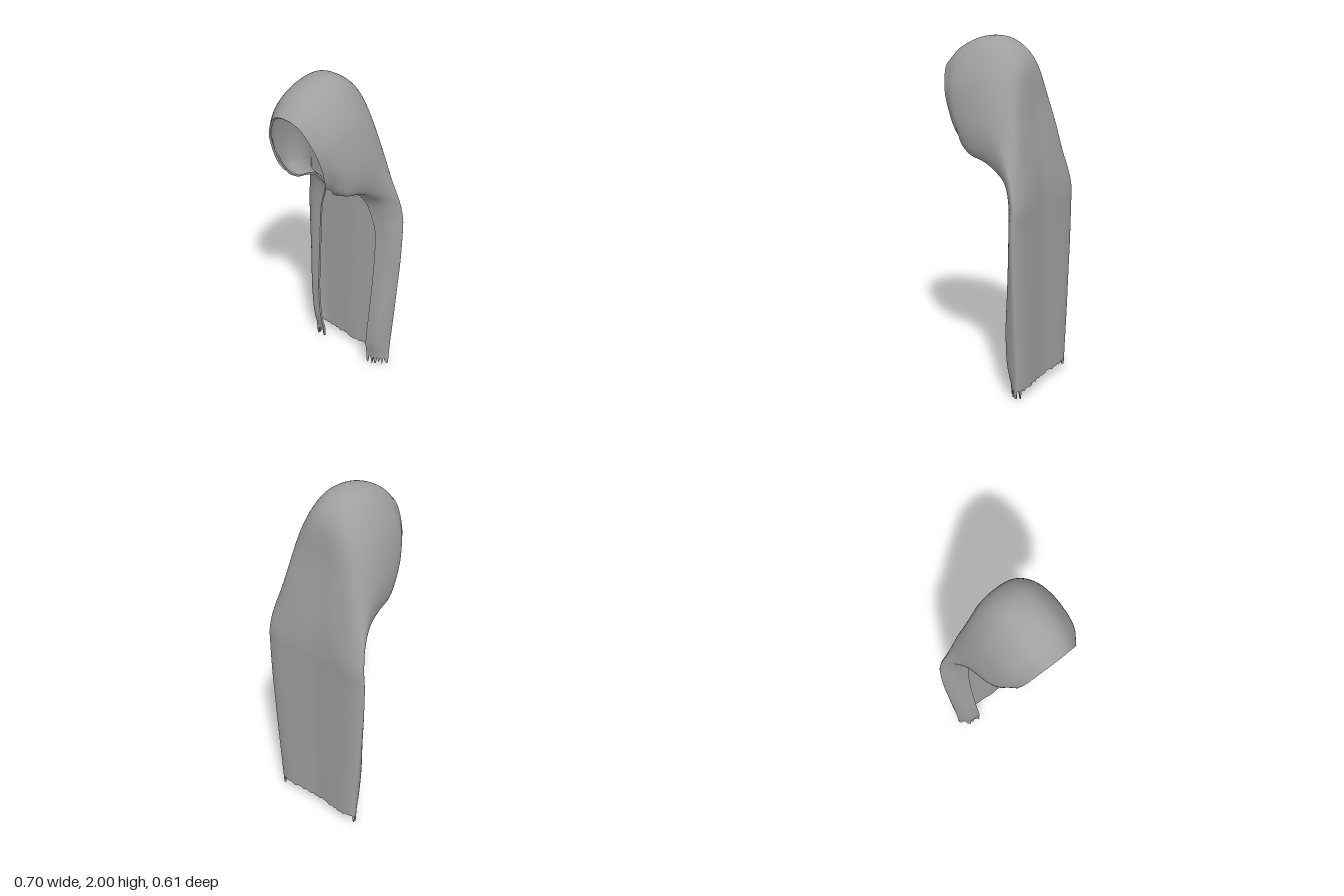
import * as THREE from 'three';

// Body cross-sections from hem to shoulder: height, half width, front edge x, front edge z
const BODY = [
  [0.065, 0.29, 0.175, -0.2],
  [0.2, 0.298, 0.185, -0.175],
  [0.4, 0.315, 0.2, -0.175],
  [0.6, 0.33, 0.207, -0.188],
  [0.8, 0.345, 0.21, -0.2],
  [1.0, 0.352, 0.205, -0.205],
  [1.13, 0.346, 0.168, -0.195],
];

// Hood arches from neck to opening rim; each runs from the spine round the side to the underside
const HOOD = [
  [[0, 1.3, -0.27], [0.13, 1.3, -0.277], [0.26, 1.29, -0.27], [0.325, 1.27, -0.24], [0.27, 1.24, -0.185], [0.15, 1.2, -0.17]],
  [[0, 1.6, -0.222], [0.12, 1.58, -0.227], [0.235, 1.52, -0.222], [0.292, 1.42, -0.16], [0.255, 1.31, -0.11], [0.145, 1.28, -0.1]],
  [[0, 1.86, -0.185], [0.12, 1.82, -0.18], [0.225, 1.7, -0.14], [0.28, 1.52, -0.07], [0.25, 1.36, -0.03], [0.145, 1.32, -0.03]],
  [[0, 1.98, -0.07], [0.12, 1.935, -0.07], [0.225, 1.77, -0.03], [0.27, 1.55, 0.02], [0.24, 1.39, 0.06], [0.15, 1.34, 0.05]],
  [[0, 1.995, 0.07], [0.12, 1.945, 0.07], [0.22, 1.77, 0.09], [0.25, 1.56, 0.11], [0.22, 1.43, 0.12], [0.16, 1.38, 0.11]],
  [[0, 1.94, 0.21], [0.11, 1.9, 0.205], [0.2, 1.75, 0.19], [0.225, 1.58, 0.17], [0.2, 1.47, 0.15], [0.165, 1.42, 0.14]],
  [[0, 1.85, 0.305], [0.09, 1.82, 0.295], [0.16, 1.7, 0.26], [0.178, 1.58, 0.22], [0.17, 1.49, 0.19], [0.15, 1.43, 0.16]],
];

const COLS = 80, ROWS = 78, THICK = 0.012;

const bodyRow = ([y, w, e, z]) => [
  [0, y, -0.285], [w * 0.4, y, -0.294], [w * 0.8, y, -0.299],
  [w, y, -0.272], [e + (w - e) * 0.62, y, z - 0.018], [e, y, z],
];

// Mirror a half section into a full one, right edge to left edge
const mirrorRow = (half) => [
  ...half.slice(1).reverse().map(([x, y, z]) => new THREE.Vector3(-x, y, z)),
  ...half.map((p) => new THREE.Vector3(...p)),
];

const smooth = (points, n) => new THREE.CatmullRomCurve3(points, false, 'catmullrom', 0.5).getPoints(n);

// Torn hem: uneven teeth, longest near the two sides
function tear(i) {
  const r = Math.abs(Math.sin(i * 12.9898 + 4.1) * 43758.5453) % 1;
  const side = Math.abs(i / COLS - 0.5) * 2;
  return r > 0.55 ? -0.062 * r * (side > 0.45 ? 1 : 0.15) : 0.006 * r;
}

function makeGeometry(pos, index) {
  const g = new THREE.BufferGeometry();
  g.setAttribute('position', new THREE.Float32BufferAttribute(pos, 3));
  g.setIndex(index);
  g.computeVertexNormals();
  return g;
}

export function createModel() {
  const cloth = new THREE.MeshStandardMaterial({ color: 0xa0a0a0 });
  const group = new THREE.Group();
  group.name = 'hoodedCloak';
  const add = (name, geometry) => {
    const mesh = new THREE.Mesh(geometry, cloth);
    mesh.name = name;
    group.add(mesh);
  };

  // Loft the sections both ways into a grid of points
  const sections = [...BODY.map(bodyRow), ...HOOD].map((h) => smooth(mirrorRow(h), COLS));
  const columns = [];
  for (let i = 0; i <= COLS; i++) columns.push(smooth(sections.map((s) => s[i]), ROWS));

  const pos = [], out = [], inn = [];
  const id = (i, j) => j * (COLS + 1) + i;
  for (let j = 0; j <= ROWS; j++) {
    for (let i = 0; i <= COLS; i++) {
      const p = columns[i][j];
      pos.push(p.x, j === 0 ? p.y + tear(i) : p.y, p.z);
      if (i < COLS && j < ROWS) {
        const a = id(i, j), b = id(i + 1, j), c = id(i, j + 1), d = id(i + 1, j + 1);
        out.push(a, c, b, b, c, d);
        inn.push(a, b, c, b, d, c);
      }
    }
  }

  // Outer cloth and its lining, set inward along the normals
  const outer = makeGeometry(pos, out);
  const n = outer.attributes.normal.array;
  const inPos = pos.map((v, k) => (k % 3 === 1 && k < (COLS + 1) * 3 ? v : v - n[k] * THICK));
  add('outerCloth', outer);
  add('lining', makeGeometry(inPos, inn));

  // Border strip joining cloth and lining round every open edge
  const loop = [];
  for (let i = 0; i < COLS; i++) loop.push(id(i, 0));
  for (let j = 0; j < ROWS; j++) loop.push(id(COLS, j));
  for (let i = COLS; i > 0; i--) loop.push(id(i, ROWS));
  for (let j = ROWS; j > 0; j--) loop.push(id(0, j));
  const edgePos = [], edgeIndex = [];
  loop.forEach((v, k) => {
    for (const src of [pos, inPos]) edgePos.push(src[v * 3], src[v * 3 + 1], src[v * 3 + 2]);
    const a = k * 2, b = ((k + 1) % loop.length) * 2;
    edgeIndex.push(a, b, a + 1, b, b + 1, a + 1);
  });
  add('clothEdge', makeGeometry(edgePos, edgeIndex));

  return group;
}
